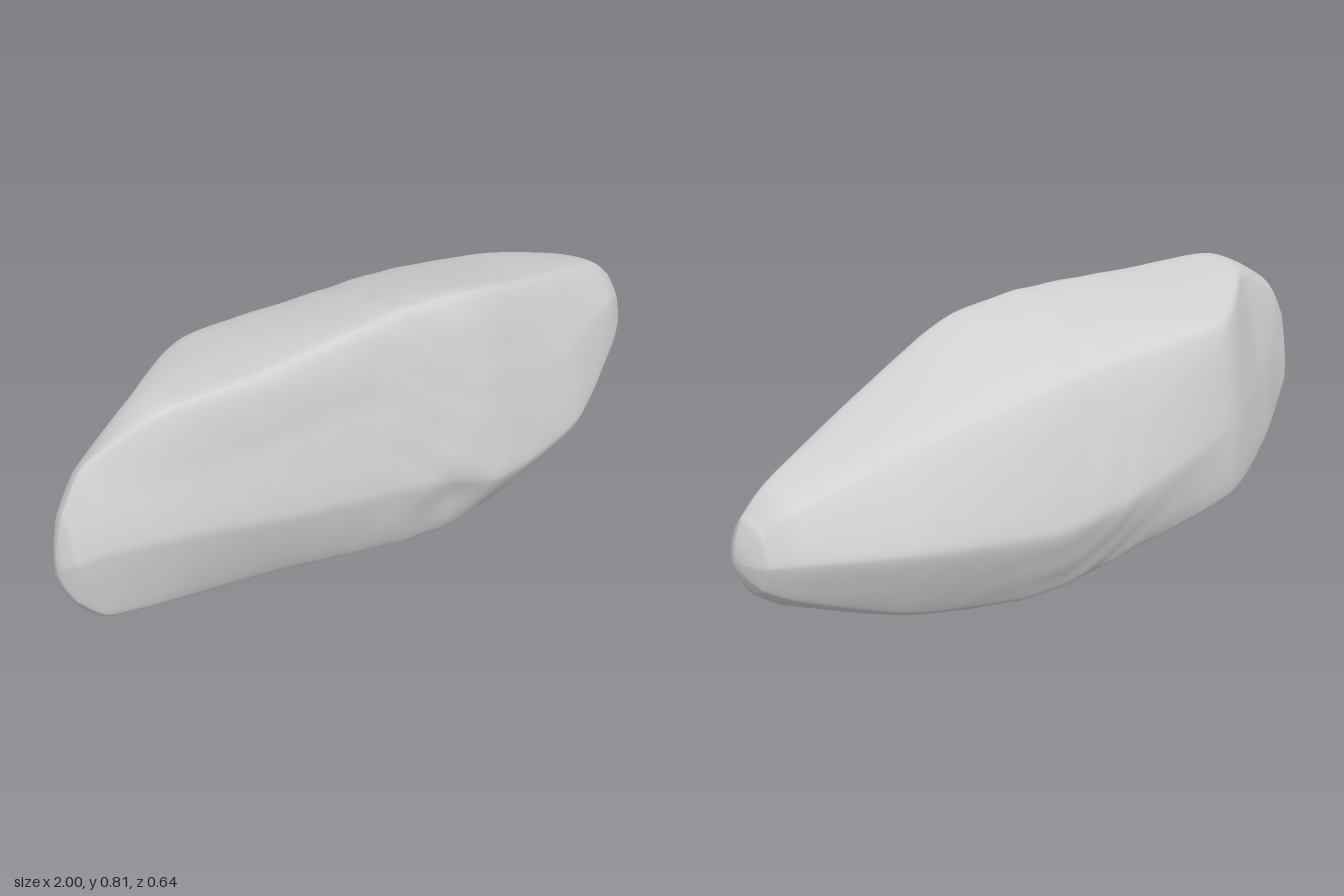
import * as THREE from 'three';

// Cross-sections along x: eight [y, z] corners each, in the order top front ridge,
// top back ridge, back, lower back, bottom, lower front, front ridge, upper front.
const sections = [
  { x: -0.9, p: [[.67, .075], [.63, .02], [.43, -.02], [.27, -.03], [.21, .05], [.245, .115], [.45, .145], [.56, .12]] },
  { x: -0.72, p: [[.77, .13], [.745, -.01], [.48, -.115], [.25, -.145], [.175, -.01], [.22, .15], [.45, .205], [.6, .175]] },
  { x: -0.44, p: [[.785, .155], [.72, -.2], [.43, -.27], [.2, -.265], [.115, -.05], [.165, .165], [.39, .24], [.6, .205]] },
  { x: 0, p: [[.81, .175], [.705, -.19], [.36, -.315], [.13, -.235], [.02, -.02], [.085, .22], [.31, .285], [.57, .245]] },
  { x: 0.25, p: [[.78, .18], [.685, -.19], [.35, -.315], [.11, -.21], [.005, 0], [.065, .21], [.24, .315], [.55, .265]] },
  { x: 0.6, p: [[.67, .105], [.635, -.155], [.4, -.265], [.18, -.165], [.1, .01], [.125, .175], [.25, .265], [.48, .21]] },
  { x: 0.88, p: [[.58, .025], [.555, -.11], [.43, -.165], [.3, -.11], [.24, 0], [.26, .085], [.34, .135], [.48, .105]] },
];
const leftPole = new THREE.Vector3(-1, 0.4, 0.06);
const rightPole = new THREE.Vector3(1, 0.41, 0);
const AROUND = 112, ALONG = 110, CAP = 10;

// A smaller copy of a section, shrunk towards a pole
function shrink(section, pole, x, s) {
  return { x, p: section.p.map(([y, z]) => [
    THREE.MathUtils.lerp(pole.y, y, s), THREE.MathUtils.lerp(pole.z, z, s)]) };
}

// Small weathering ripples, strongest low down around the middle of the stone
function weather(p) {
  const mid = Math.exp(-((p.x - 0.05) ** 2) / 0.06);
  const ripple = Math.sin(27 * p.x + 9 * p.y + 2 * Math.sin(13 * p.z))
    * Math.sin(29 * p.y - 23 * p.z + 2 * Math.sin(11 * p.x));
  const low = THREE.MathUtils.smoothstep(0.5 - p.y, 0, 0.4);
  const k = 1 + ripple * (0.002 + mid * (0.003 + 0.007 * low));
  p.y = 0.4 + (p.y - 0.4) * k;
  p.z *= k;
  // Shallow hollow low on the front
  if (p.z > 0) p.z -= 0.015 * Math.exp(-((p.x - 0.08) ** 2 + (p.y - 0.22) ** 2) / 0.006);
  return p;
}

// One closed ring at u (0..1) between the first and last section
function ring(ridges, u) {
  const corners = ridges.map((c) => c.getPoint(u));
  const loop = new THREE.CatmullRomCurve3(corners, true, 'catmullrom', 0.24);
  return Array.from({ length: AROUND }, (_, j) => loop.getPoint(j / AROUND));
}

// Ring pulled towards a pole to round off an end
function capRing(base, pole, t) {
  return base.map((p) => new THREE.Vector3(
    THREE.MathUtils.lerp(p.x, pole.x, Math.sin(t * Math.PI / 2)),
    THREE.MathUtils.lerp(p.y, pole.y, t),
    THREE.MathUtils.lerp(p.z, pole.z, t)));
}

function stoneGeometry() {
  const all = [
    shrink(sections[0], leftPole, -0.97, 0.6),
    ...sections,
    shrink(sections[sections.length - 1], rightPole, 0.965, 0.6),
  ];
  const ridges = sections[0].p.map((_, j) => new THREE.CatmullRomCurve3(
    all.map((s) => new THREE.Vector3(s.x, s.p[j][0], s.p[j][1])), false, 'catmullrom', 0.35));
  const rings = [];
  for (let i = 0; i <= ALONG; i++) rings.push(ring(ridges, i / ALONG));
  const first = rings[0], last = rings[ALONG];
  for (let i = 1; i < CAP; i++) {
    rings.unshift(capRing(first, leftPole, i / CAP));
    rings.push(capRing(last, rightPole, i / CAP));
  }

  const points = rings.flat().map(weather);
  const a0 = points.length, b0 = a0 + 1;
  points.push(leftPole, rightPole);

  const index = [];
  const end = (rings.length - 1) * AROUND;
  for (let j = 0; j < AROUND; j++) {
    const k = (j + 1) % AROUND;
    for (let r = 0; r < end; r += AROUND) {
      const a = r + j, b = r + k, c = a + AROUND, d = b + AROUND;
      index.push(a, c, b, b, c, d);
    }
    index.push(a0, j, k, end + j, b0, end + k);
  }
  const geometry = new THREE.BufferGeometry().setFromPoints(points);
  geometry.setIndex(index);
  geometry.computeVertexNormals();
  return geometry;
}

export function createModel() {
  const stoneGrey = new THREE.MeshStandardMaterial({ color: 0xd2d2d2 });
  stoneGrey.name = 'stone grey';
  const stone = new THREE.Mesh(stoneGeometry(), stoneGrey);
  stone.name = 'stone';
  const group = new THREE.Group();
  group.name = 'rock';
  group.add(stone);
  return group;
}
